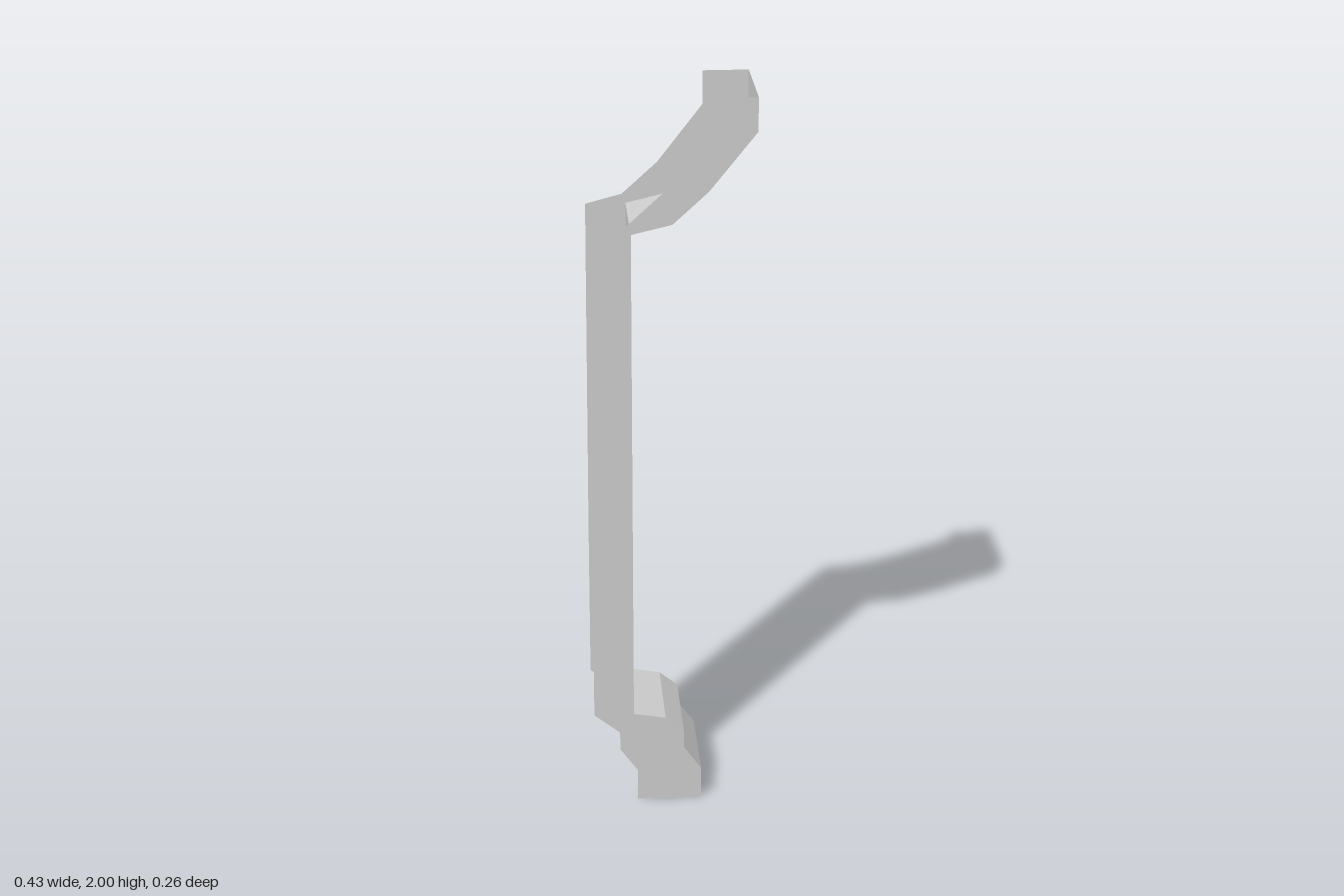
import * as THREE from 'three';

const HALF_DEPTH = 0.128;

// Closed edge of the channel, bottom to top (x, y)
const webEdge = [
  [0.08, 0], [0.08, 0.092], [0.032, 0.16], [0.032, 0.213], [-0.018, 0.255], [-0.105, 0.27],
  [-0.105, 1.65], [0, 1.675], [0.092, 1.76], [0.213, 1.912], [0.213, 2],
];

// Open edge of the channel, top to bottom
const openEdge = [
  [0.095, 2], [0.095, 1.912], [-0.022, 1.76], [-0.115, 1.675], [-0.21, 1.65],
  [-0.213, 0.7], [-0.213, 0.27], [-0.143, 0.213], [-0.143, 0.16], [-0.095, 0.092], [-0.095, 0],
];

const material = new THREE.MeshStandardMaterial({
  color: 0xcccccc, flatShading: true, side: THREE.DoubleSide,
});

// Flat side wall with the full channel outline
function sideWall(name, z) {
  const outline = [...webEdge, ...openEdge].map(([x, y]) => new THREE.Vector2(x, y));
  const wall = new THREE.Mesh(new THREE.ShapeGeometry(new THREE.Shape(outline)), material);
  wall.name = name;
  wall.position.z = z;
  return wall;
}

// Folded strip joining the two walls, facing +x
function webStrip() {
  const positions = [];
  for (let i = 0; i < webEdge.length - 1; i++) {
    const [x0, y0] = webEdge[i];
    const [x1, y1] = webEdge[i + 1];
    const a = [x0, y0, HALF_DEPTH], b = [x0, y0, -HALF_DEPTH];
    const c = [x1, y1, -HALF_DEPTH], d = [x1, y1, HALF_DEPTH];
    positions.push(...a, ...b, ...c, ...a, ...c, ...d);
  }
  const geometry = new THREE.BufferGeometry();
  geometry.setAttribute('position', new THREE.Float32BufferAttribute(positions, 3));
  geometry.computeVertexNormals();
  const strip = new THREE.Mesh(geometry, material);
  strip.name = 'outerStrip';
  return strip;
}

export function createModel() {
  const group = new THREE.Group();
  group.name = 'bentChannel';
  // Both ends and the -x side stay open
  group.add(sideWall('frontWall', HALF_DEPTH), sideWall('backWall', -HALF_DEPTH), webStrip());
  return group;
}
